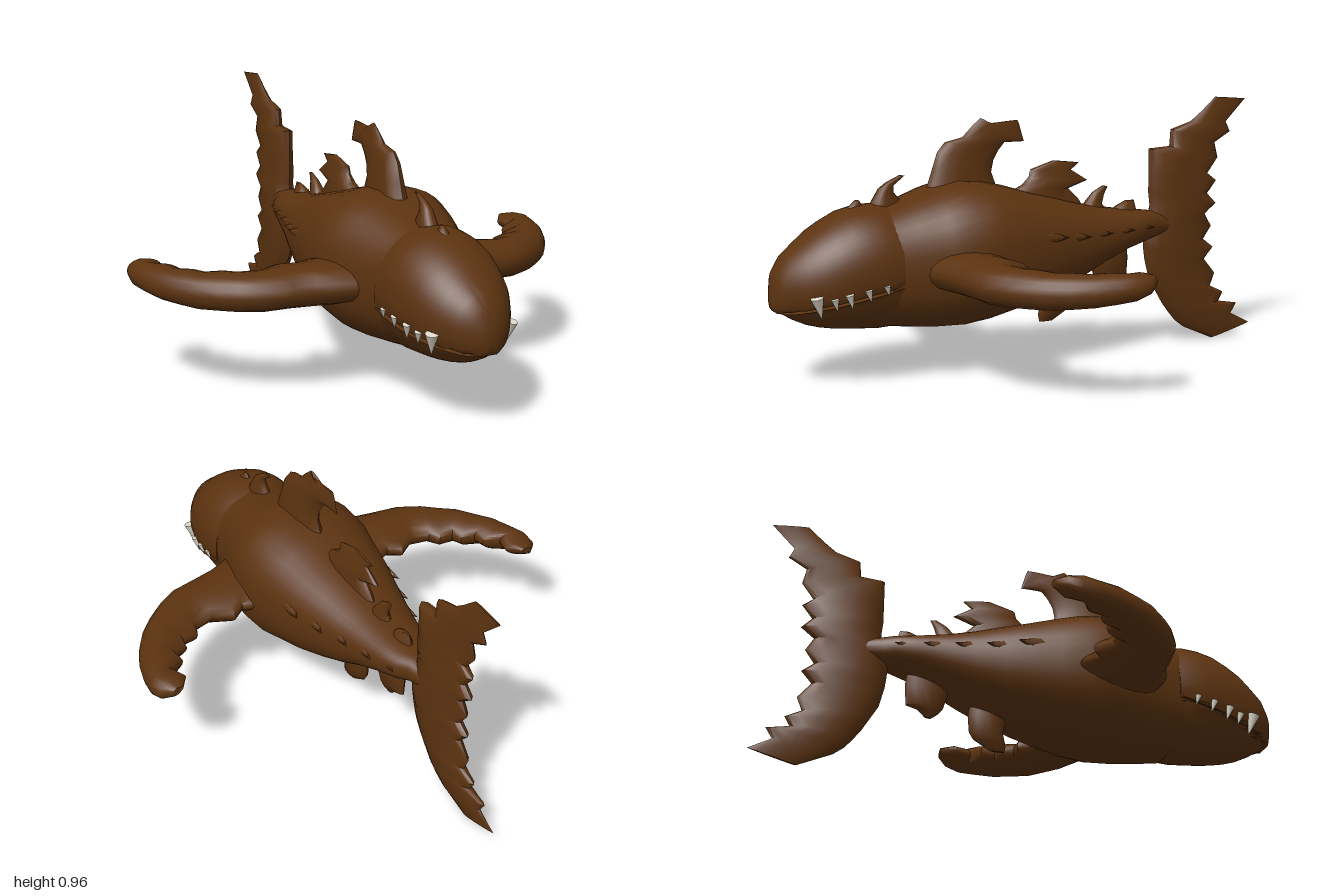
import * as THREE from 'three';
import { toCreasedNormals } from 'three/addons/utils/BufferGeometryUtils.js';

const CX = 0.025; // the body sits slightly off the fin centre line

// Closed skin through rings of points, with capped ends
function loft(rings, crease = 0.9) {
  const n = rings[0].length, pos = [], idx = [];
  rings.forEach(r => r.forEach(p => pos.push(...p)));
  for (let i = 0; i < rings.length - 1; i++) {
    for (let j = 0; j < n; j++) {
      const a = i * n + j, b = i * n + (j + 1) % n;
      idx.push(a, b, b + n, a, b + n, a + n);
    }
  }
  [0, rings.length - 1].forEach(i => {
    const c = pos.length / 3;
    pos.push(...[0, 1, 2].map(k => rings[i].reduce((s, p) => s + p[k], 0) / n));
    for (let j = 0; j < n; j++) {
      const a = i * n + j, b = i * n + (j + 1) % n;
      idx.push(c, ...(i ? [a, b] : [b, a]));
    }
  });
  // Turn the faces outward if the enclosed volume is negative
  const v = i => new THREE.Vector3().fromArray(pos, i * 3);
  let vol = 0;
  for (let i = 0; i < idx.length; i += 3) vol += v(idx[i]).dot(v(idx[i + 1]).cross(v(idx[i + 2])));
  if (vol < 0) idx.reverse();
  const g = new THREE.BufferGeometry();
  g.setAttribute('position', new THREE.Float32BufferAttribute(pos, 3));
  g.setIndex(idx);
  return toCreasedNormals(g, crease);
}

// Cross-section of the body: z, bottom, top, half width
function section([z, bot, top, w], power = 1, clamp = y => y, n = 36) {
  const soft = v => Math.sign(v) * Math.abs(v) ** power;
  return Array.from({ length: n }, (_, i) => {
    const a = i / n * Math.PI * 2;
    const y = (bot + top) / 2 + (top - bot) / 2 * soft(Math.sin(a));
    return [CX + w * soft(Math.cos(a)), clamp(y), z];
  });
}

// Fin cross-section from leading to trailing point, thick along one axis
function foil(lead, trail, h, axis, n = 14) {
  return Array.from({ length: n }, (_, i) => {
    const a = i / n * Math.PI * 2, u = (1 - Math.cos(a)) / 2;
    const p = lead.map((l, k) => l + (trail[k] - l) * u);
    p[axis] += Math.sin(a) * h * 1.2 * (1 - 0.4 * u);
    return p;
  });
}

// Upright fin: stations of lead z, lead y, trail z, trail y, half thickness
const uprightFin = rows => loft(rows.map(([lz, ly, tz, ty, h]) =>
  foil([CX, ly, lz], [CX, ty, tz], h, 0)));

const uprightFins = {
  tailFin: [
    [-.82, .968, -.957, .957, .004], [-.76, .915, -.87, .87, .014], [-.71, .877, -.89, .83, .022],
    [-.62, .85, -.82, .79, .028], [-.615, .785, -.835, .73, .034], [-.524, .78, -.79, .67, .038],
    [-.524, .69, -.83, .64, .042], [-.524, .61, -.79, .59, .045], [-.53, .56, -.83, .55, .048],
    [-.52, .5, -.78, .51, .05], [-.5, .45, -.81, .46, .05], [-.505, .39, -.775, .41, .05],
    [-.51, .35, -.82, .375, .048], [-.52, .31, -.78, .33, .045], [-.53, .27, -.83, .27, .042],
    [-.56, .22, -.81, .22, .04], [-.59, .17, -.87, .19, .036], [-.62, .13, -.85, .155, .033],
    [-.65, .095, -.935, .14, .028], [-.69, .065, -.91, .1, .022], [-.82, .008, -.995, .055, .005]],
  mainDorsalFin: [
    [.43, .63, .1, .62, .055], [.4, .69, .13, .69, .05], [.38, .75, .144, .727, .042],
    [.36, .81, .135, .77, .034], [.33, .845, .115, .805, .028], [.26, .86, .09, .834, .022],
    [.22, .9, .05, .834, .016], [.187, .928, .01, .834, .012], [.17, .905, .03, .9, .006],
    [.1, .91, .037, .914, .003]],
  rearDorsalFin: [
    [.12, .59, -.24, .57, .045], [.09, .64, -.22, .604, .04], [.02, .67, -.176, .647, .034],
    [-.01, .7, -.257, .674, .026], [-.016, .727, -.187, .717, .018], [-.11, .756, -.22, .743, .006]],
  frontDorsalFin: [
    [.65, .59, .49, .6, .04], [.62, .64, .508, .647, .032], [.59, .69, .53, .674, .022],
    [.56, .712, .53, .7, .014], [.51, .735, .487, .733, .004]],
  headSpine: [[.75, .6, .64, .6, .025], [.7, .635, .65, .635, .015], [.68, .655, .665, .655, .003]],
  thirdDorsalFin: [
    [-.22, .55, -.36, .53, .035], [-.25, .59, -.32, .58, .026], [-.28, .625, -.33, .615, .014],
    [-.32, .648, -.345, .645, .004]],
  lastDorsalFin: [
    [-.35, .53, -.48, .52, .035], [-.38, .565, -.47, .55, .025], [-.42, .585, -.46, .585, .005]],
  frontBellyFin: [
    [0, .34, -.19, .34, .045], [-.045, .27, -.195, .27, .04], [-.06, .22, -.19, .21, .034],
    [-.05, .17, -.175, .185, .024], [-.055, .145, -.11, .145, .006]],
  rearBellyFin: [
    [-.25, .42, -.43, .43, .04], [-.275, .34, -.435, .36, .034], [-.29, .29, -.43, .29, .026],
    [-.31, .265, -.39, .28, .018], [-.335, .246, -.36, .25, .005]],
};

export function createModel() {
  const group = new THREE.Group();
  const skin = new THREE.MeshStandardMaterial({ color: 0x5c3310 });
  skin.name = 'brown skin';
  const ivory = new THREE.MeshStandardMaterial({ color: 0xe0dccc });
  ivory.name = 'ivory teeth';
  const add = (name, geometry, material = skin) => {
    const mesh = new THREE.Mesh(geometry, material);
    mesh.name = name;
    group.add(mesh);
    return mesh;
  };

  // Trunk, tapering into the tail
  const trunk = [
    [.61, .2, .62, .195], [.5, .185, .65, .215], [.4, .177, .685, .25], [.3, .176, .71, .275],
    [.2, .19, .7, .275], [.1, .212, .675, .25], [0, .24, .645, .23], [-.1, .272, .62, .2],
    [-.2, .312, .592, .17], [-.3, .36, .57, .14], [-.4, .4, .555, .115], [-.49, .425, .545, .09],
    [-.53, .435, .54, .062], [-.62, .45, .52, .04]];
  add('body', loft(trunk.map(s => section(s, 0.85)), 1.2));

  // Head cut along a mouth line that rises toward the back
  const head = [
    [1, .29, .37, .025], [.985, .265, .43, .065], [.95, .245, .48, .105], [.9, .224, .52, .14],
    [.85, .211, .56, .168], [.8, .203, .59, .185], [.74, .197, .62, .2], [.68, .193, .635, .208],
    [.62, .189, .64, .21], [.57, .192, .63, .206]];
  const mouth = z => .28 + .225 * (.97 - z);
  add('upperHead', loft(head.map(s => section(s, 0.95, y => Math.max(y, mouth(s[0])), 48))));
  add('lowerJaw', loft(head.map(([z, b, t, w]) => {
    const zj = z > .6 ? z - .03 * (z - .6) / .4 : z;
    return section([zj, b, t, w * .98], 0.95, y => Math.min(y, mouth(zj) - .008), 48);
  })));

  // Fins along the back, the belly and the tail
  for (const [name, rows] of Object.entries(uprightFins)) add(name, uprightFin(rows));

  // Pectoral fins: lead x, lead z, trail x, trail z, half thickness, height
  const pectoral = [
    [.1, .49, .1, .14, .07, .405], [.26, .485, .26, .16, .072, .405], [.33, .45, .33, .195, .072, .403],
    [.42, .44, .38, .16, .07, .4], [.52, .42, .45, .21, .068, .397], [.6, .375, .53, .195, .066, .395],
    [.66, .33, .55, .15, .065, .394], [.72, .27, .61, .15, .063, .394], [.77, .2, .62, .105, .06, .396],
    [.81, .12, .675, .09, .056, .4], [.835, .04, .675, .035, .052, .405], [.845, -.03, .735, .005, .046, .41],
    [.838, -.08, .715, -.06, .036, .417], [.8, -.115, .755, -.115, .015, .425]];
  for (const side of [1, -1]) {
    const label = side > 0 ? 'left' : 'right';
    add(label + 'PectoralFin', loft(pectoral.map(([lx, lz, tx, tz, h, y]) =>
      foil([side * lx, y, lz], [side * tx, y + .015, tz], h, 1, 20))));

    // Teeth: z, distance from the middle, y, length, radius
    [[.87, .15, .305, .085, .024], [.815, .17, .315, .05, .014], [.765, .185, .325, .06, .016],
      [.7, .197, .342, .05, .014], [.635, .204, .357, .04, .012]].forEach(([z, x, y, len, r]) => {
      const tooth = add(label + 'Tooth', new THREE.ConeGeometry(r, len, 10), ivory);
      tooth.position.set(CX + side * x, y, z);
      tooth.rotation.set(Math.PI + .25, 0, side * .12);
    });

    // Blunt spines along the flanks
    [[-.02, .215, .5], [-.13, .18, .49], [-.24, .145, .49], [-.35, .115, .49], [-.45, .085, .49]].forEach(([z, x, y]) => {
      const spine = add(label + 'FlankSpine', new THREE.ConeGeometry(.03, .1, 8));
      spine.position.set(CX + side * x, y, z);
      spine.rotation.set(-Math.PI / 2, 0, side * -.25);
    });
  }
  return group;
}
